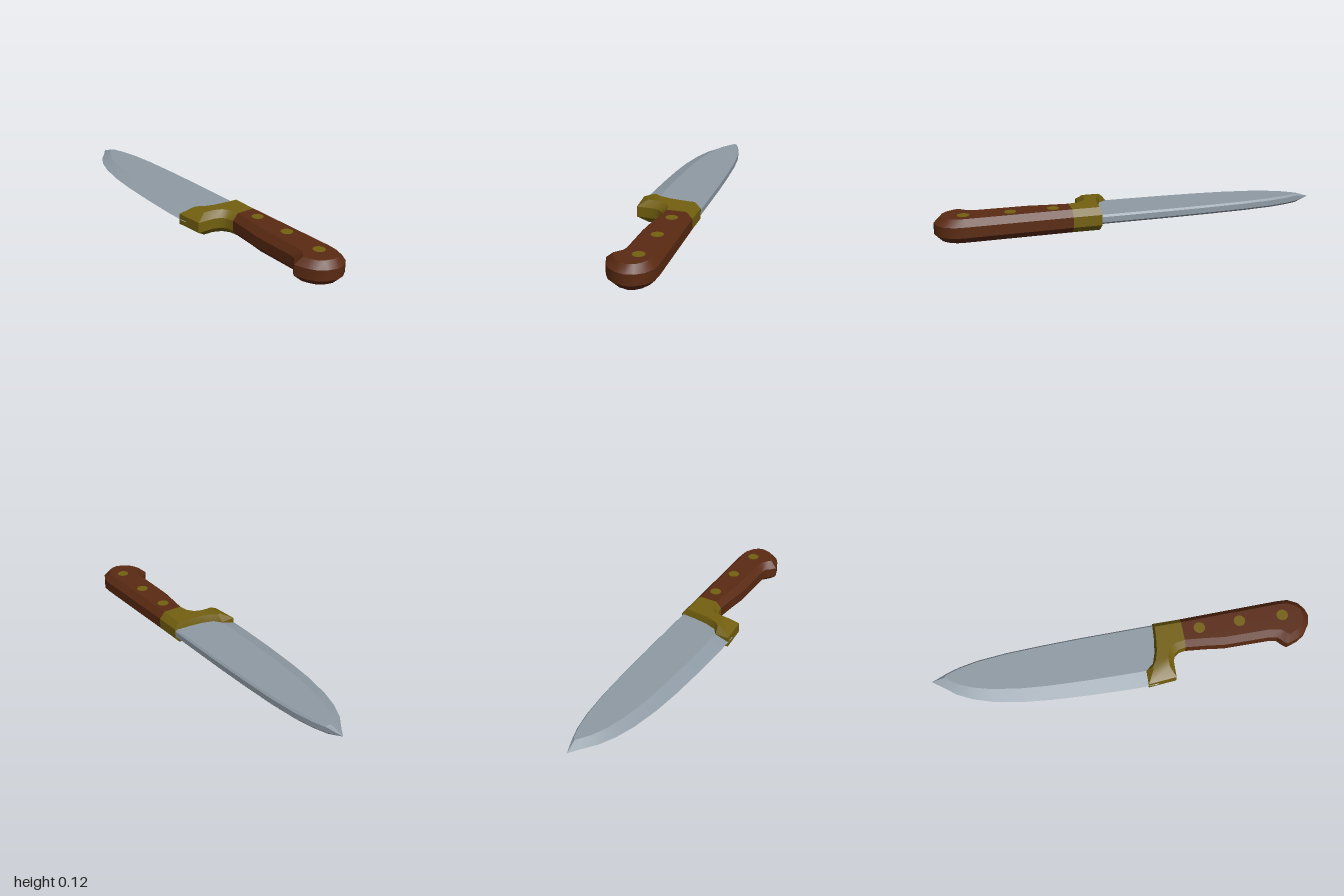
import * as THREE from 'three';
import { toCreasedNormals } from 'three/addons/utils/BufferGeometryUtils.js';

const MID = 0.061; // height of the knife's middle plane

// Solid lying flat: an outer outline of half height hOuter, bevelled to an inner outline of half height hInner.
// Each point is [outerX, outerZ, innerX, innerZ, optional outer half height].
function bevelledSlab(points, hOuter, hInner, crease) {
  const flat = points.map(p => new THREE.Vector2(p[2], -p[3]));
  const pts = THREE.ShapeUtils.area(flat) < 0 ? [...points].reverse() : points;
  const inner = pts.map(p => new THREE.Vector2(p[2], -p[3]));
  const ring = (isInner, sign) => pts.map(p => isInner
    ? new THREE.Vector3(p[2], MID + sign * hInner, p[3])
    : new THREE.Vector3(p[0], MID + sign * (p[4] ?? hOuter), p[1]));
  const rings = [ring(true, -1), ring(false, -1), ring(false, 1), ring(true, 1)];
  const verts = [];
  const tri = (a, b, c) => {
    if (new THREE.Triangle(a, b, c).getArea() > 1e-8) for (const v of [a, b, c]) verts.push(v.x, v.y, v.z);
  };
  for (let k = 0; k < 3; k++) {
    for (let i = 0; i < pts.length; i++) {
      const j = (i + 1) % pts.length;
      const [lo, hi] = [rings[k], rings[k + 1]];
      tri(lo[i], lo[j], hi[j]);
      tri(lo[i], hi[j], hi[i]);
    }
  }
  for (let [a, b, c] of THREE.ShapeUtils.triangulateShape(inner, [])) {
    if (THREE.ShapeUtils.area([inner[a], inner[b], inner[c]]) < 0) [b, c] = [c, b];
    tri(rings[3][a], rings[3][b], rings[3][c]);
    tri(rings[0][a], rings[0][c], rings[0][b]);
  }
  const geo = new THREE.BufferGeometry();
  geo.setAttribute('position', new THREE.Float32BufferAttribute(verts, 3));
  geo.computeVertexNormals();
  return toCreasedNormals(geo, crease);
}

export function createModel() {
  const knife = new THREE.Group();
  knife.name = 'knife';
  const steel = new THREE.MeshStandardMaterial({ color: 0x8f9ba5 });
  const brass = new THREE.MeshStandardMaterial({ color: 0x73600f });
  const wood = new THREE.MeshStandardMaterial({ color: 0x5a2a12 });
  const add = (name, geo, mat) => {
    const mesh = new THREE.Mesh(geo, mat);
    mesh.name = name;
    knife.add(mesh);
    return mesh;
  };

  // Blade: wide bevel down to a sharp edge, narrow bevel along the spine
  const edge = [
    [-1, -0.055, -0.93, -0.06], [-0.95, -0.02, -0.905, -0.04], [-0.88, 0.035, -0.86, -0.01],
    [-0.8, 0.075, -0.79, 0.02], [-0.7, 0.107, -0.7, 0.045], [-0.55, 0.135, -0.55, 0.068],
    [-0.4, 0.15, -0.4, 0.08], [-0.2, 0.161, -0.2, 0.087], [0, 0.167, 0, 0.09], [0.15, 0.166, 0.15, 0.09],
  ].map(p => [...p, 0]);
  const spine = [
    [0.24, -0.158], [0, -0.156], [-0.2, -0.154], [-0.4, -0.149], [-0.6, -0.14],
    [-0.75, -0.125], [-0.85, -0.105], [-0.92, -0.082],
  ].map(([x, z]) => [x, z, x, z + 0.009, 0.014]);
  add('blade', bevelledSlab([...edge, [0.24, 0, 0.24, 0, 0.014], ...spine], 0, 0.024, 0.3), steel);

  // Bolster with the finger guard dropping to the heel of the blade
  add('bolster', bevelledSlab([
    [0.178, -0.16, 0.185, -0.13], [0.325, -0.16, 0.325, -0.13],
    [0.325, 0, 0.325, -0.03], [0.29, 0.006, 0.275, -0.022], [0.265, 0.025, 0.24, 0.002],
    [0.25, 0.06, 0.222, 0.045], [0.247, 0.152, 0.22, 0.1],
    [0.1, 0.165, 0.135, 0.1], [0.1, 0.09, 0.135, 0.085], [0.14, 0.06, 0.155, 0.055],
    [0.16, 0, 0.172, 0], [0.172, -0.08, 0.182, -0.08],
  ], 0.027, 0.06, 0.6), brass);

  // Wooden handle with a rounded, hooked butt
  add('handle', bevelledSlab([
    [0.325, -0.16, 0.325, -0.13], [0.85, -0.17, 0.85, -0.139], [0.91, -0.167, 0.895, -0.136],
    [0.96, -0.14, 0.935, -0.115], [0.988, -0.1, 0.957, -0.09], [0.998, -0.06, 0.964, -0.06],
    [0.983, -0.01, 0.952, -0.02], [0.955, 0.03, 0.93, 0.008], [0.915, 0.055, 0.9, 0.025],
    [0.855, 0.075, 0.868, 0.037], [0.835, 0.06, 0.855, 0.025], [0.81, 0.032, 0.828, 0.003],
    [0.77, 0.024, 0.775, -0.007], [0.53, 0.023, 0.53, -0.008], [0.43, 0.01, 0.435, -0.02],
    [0.325, 0, 0.325, -0.03],
  ], 0.027, 0.06, 0.6), wood);

  // Rivets through the handle
  for (const [x, z] of [[0.413, -0.083], [0.627, -0.083], [0.855, -0.075]]) {
    add('rivet', new THREE.CylinderGeometry(0.03, 0.03, 0.122, 20), brass).position.set(x, MID, z);
  }
  return knife;
}
